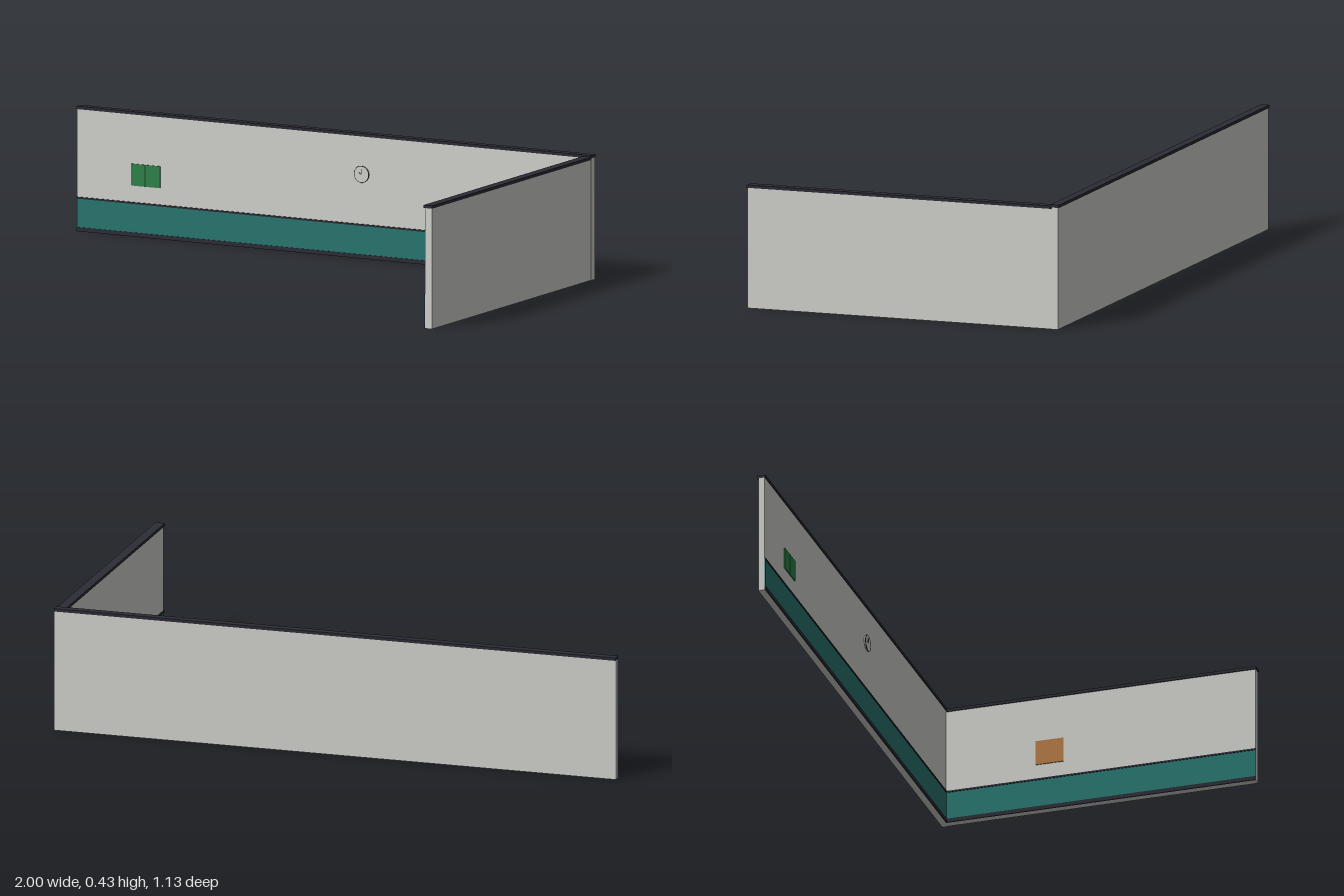
import * as THREE from 'three';

const paint = (name, color) => {
  const m = new THREE.MeshStandardMaterial({ color });
  m.name = name;
  return m;
};

export function createModel() {
  const wallGrey = paint('wallGrey', 0xd0d0cc);
  const trimDark = paint('trimDark', 0x2c2c36);
  const teal = paint('teal', 0x28756f);
  const boardGreen = paint('boardGreen', 0x2f8049);
  const cork = paint('cork', 0xb47a45);

  const model = new THREE.Group();
  model.name = 'cornerWalls';

  // Box given by its minimum and maximum corners
  const box = (name, material, [x0, y0, z0], [x1, y1, z1]) => {
    const mesh = new THREE.Mesh(new THREE.BoxGeometry(x1 - x0, y1 - y0, z1 - z0), material);
    mesh.position.set((x0 + x1) / 2, (y0 + y1) / 2, (z0 + z1) / 2);
    mesh.name = name;
    model.add(mesh);
  };

  // Walls and their dark caps
  box('backWall', wallGrey, [-1, 0, -0.563], [1, 0.42, -0.54]);
  box('backCap', trimDark, [-1, 0.42, -0.567], [1, 0.43, -0.537]);
  box('sideWall', wallGrey, [0.971, 0, -0.54], [0.998, 0.415, 0.565]);
  box('sideCap', trimDark, [0.967, 0.415, -0.537], [1, 0.425, 0.567]);

  // Wainscot, skirting and rail along both inner faces: [name, material, bottom, top, thickness]
  const bands = [
    ['wainscot', teal, 0.014, 0.112, 0.002],
    ['skirting', trimDark, 0, 0.014, 0.004],
    ['rail', trimDark, 0.112, 0.118, 0.004],
  ];
  for (const [name, material, y0, y1, t] of bands) {
    box(name + 'Back', material, [-1, y0, -0.54], [0.971, y1, -0.54 + t]);
    box(name + 'Side', material, [0.971 - t, y0, -0.54], [0.971, y1, 0.565]);
  }

  // Pair of green boards on the back wall, cork board on the side wall
  for (const x of [-0.788, -0.73]) {
    box('greenBoard', boardGreen, [x, 0.175, -0.54], [x + 0.054, 0.25, -0.537]);
  }
  box('corkBoard', cork, [0.968, 0.17, -0.22], [0.971, 0.258, -0.12]);

  // Wall clock
  const clock = new THREE.Group();
  clock.name = 'clock';
  clock.position.set(0.108, 0.29, -0.54);
  const face = new THREE.Mesh(new THREE.CylinderGeometry(0.028, 0.028, 0.006, 24), wallGrey);
  face.name = 'clockFace';
  face.rotation.x = Math.PI / 2;
  face.position.z = 0.003;
  const rim = new THREE.Mesh(new THREE.TorusGeometry(0.028, 0.0012, 6, 32), trimDark);
  rim.name = 'clockRim';
  rim.position.z = 0.005;
  clock.add(face, rim);
  for (const [length, angle] of [[0.018, 0], [0.012, 1.1]]) {
    const geometry = new THREE.BoxGeometry(0.002, length, 0.001);
    geometry.translate(0, length / 2, 0);
    const hand = new THREE.Mesh(geometry, trimDark);
    hand.name = 'clockHand';
    hand.position.z = 0.0065;
    hand.rotation.z = angle;
    clock.add(hand);
  }
  model.add(clock);

  return model;
}
